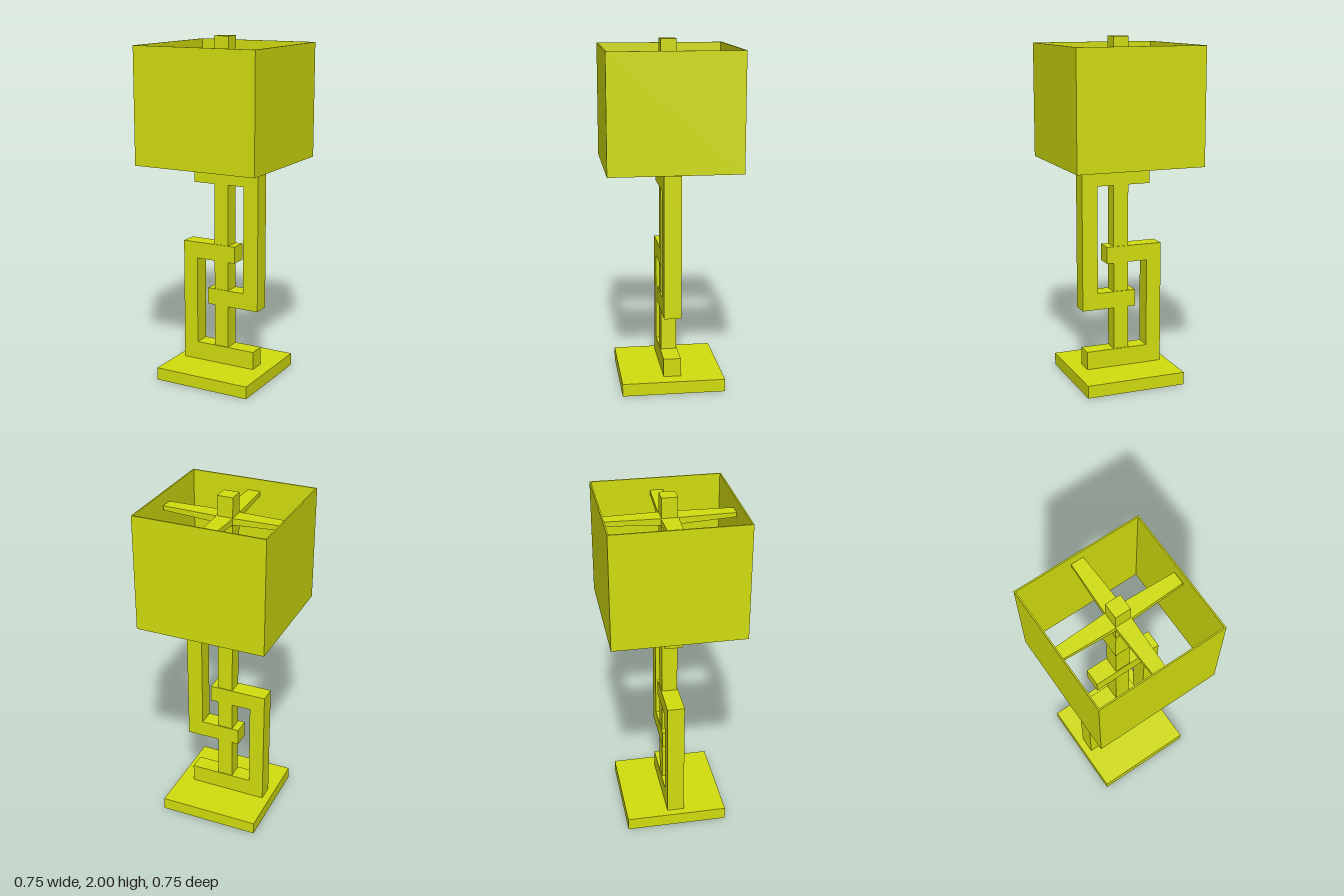
import * as THREE from 'three';

const CX = -0.006; // the stem sits slightly off centre

export function createModel() {
  const group = new THREE.Group();
  const material = new THREE.MeshStandardMaterial({ color: 0xd2de0e, flatShading: true });

  const add = (name, geometry, x = 0, y = 0, z = 0) => {
    const mesh = new THREE.Mesh(geometry, material);
    mesh.name = name;
    mesh.position.set(x, y, z);
    group.add(mesh);
    return mesh;
  };
  const box = (name, w, y0, y1, d, x = CX) =>
    add(name, new THREE.BoxGeometry(w, y1 - y0, d), x, (y0 + y1) / 2, 0);

  // Extrude a closed outline by depth, centred on its extrusion axis
  const extrude = (points, depth, hole) => {
    const shape = new THREE.Shape(points.map(([x, y]) => new THREE.Vector2(x, y)));
    if (hole) shape.holes.push(new THREE.Path(hole.map(([x, y]) => new THREE.Vector2(x, y))));
    return new THREE.ExtrudeGeometry(shape, { depth, bevelEnabled: false }).translate(0, 0, -depth / 2);
  };

  // Square base and central post
  box('base', 0.592, 0, 0.073, 0.592);
  box('post', 0.09, 0.073, 2, 0.09, -0.008);

  // Two interlocking C-shaped brackets
  add('lowerBracket', extrude([
    [-0.258, 0.073], [0.205, 0.073], [0.205, 0.18], [-0.168, 0.18],
    [-0.168, 0.702], [0.08, 0.702], [0.08, 0.8], [-0.258, 0.8],
  ], 0.1));
  add('upperBracket', extrude([
    [0.231, 0.432], [0.231, 1.26], [-0.183, 1.26], [-0.183, 1.16],
    [0.138, 1.16], [0.138, 0.53], [-0.095, 0.53], [-0.095, 0.432],
  ], 0.1));

  // Square flared socket inside the shade
  const profile = [[0, 1.5], [0.048, 1.5], [0.061, 1.55], [0.048, 1.75], [0, 1.75]]
    .map(([r, y]) => new THREE.Vector2(r * Math.SQRT2, y));
  add('socket', new THREE.LatheGeometry(profile, 4).rotateY(Math.PI / 4), CX);

  // Four arms, tapering towards the shade
  for (let i = 0; i < 4; i++) {
    const geometry = new THREE.BoxGeometry(0.368, 0.04, 0.1).translate(0.184, 0, 0);
    const p = geometry.attributes.position;
    for (let k = 0; k < p.count; k++) {
      if (p.getX(k) > 0.1) {
        p.setZ(k, p.getZ(k) * 0.74);
        if (p.getY(k) < 0) p.setY(k, -0.005);
      }
    }
    add('shadeArm', geometry, CX, 1.865, 0).rotation.y = i * Math.PI / 2;
  }

  // Open square shade
  const square = (h) => [[-h, -h], [h, -h], [h, h], [-h, h]];
  add('shade', extrude(square(0.375), 0.665, square(0.367)).rotateX(-Math.PI / 2), 0, 1.6225, 0);

  return group;
}
